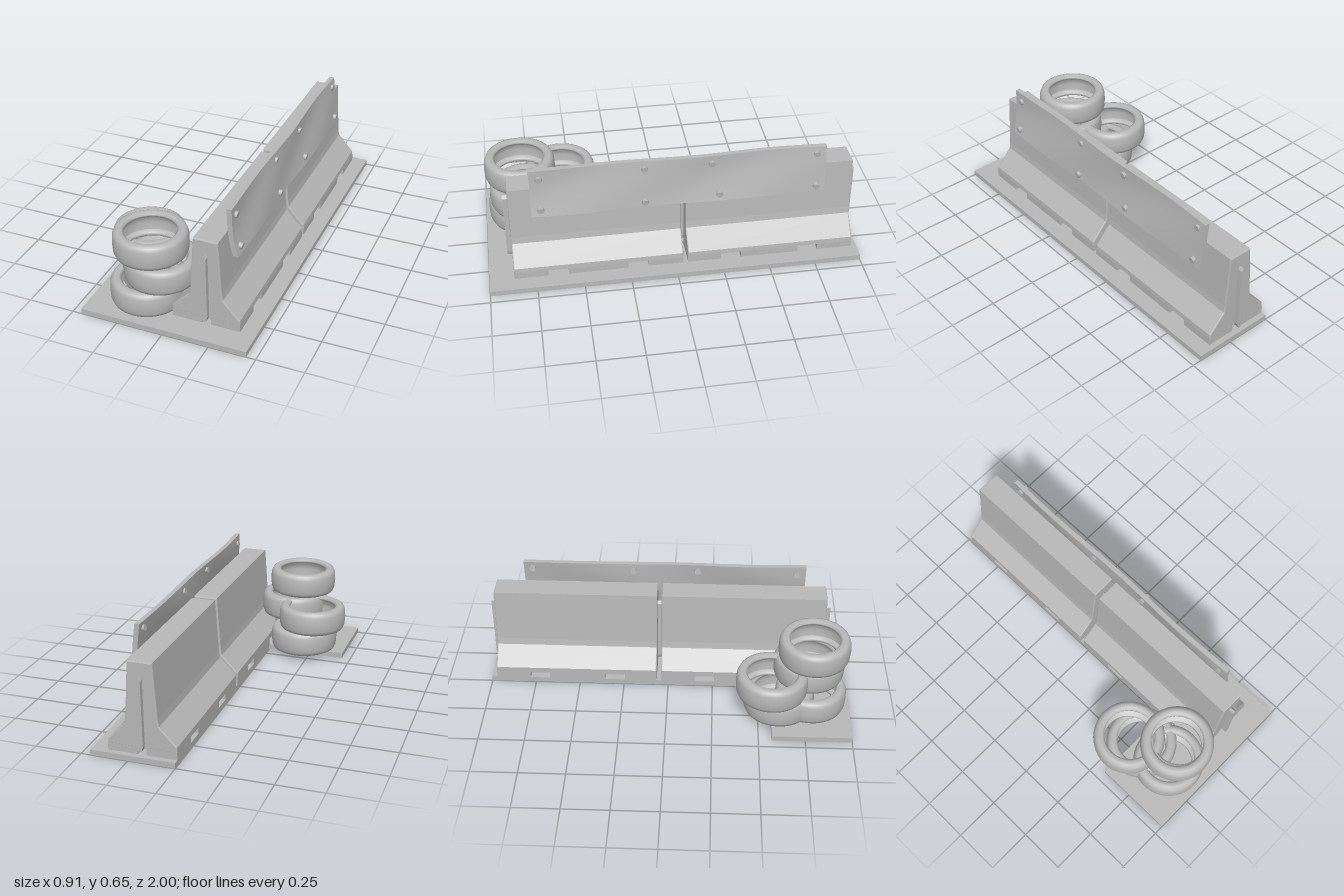
import * as THREE from 'three';

const concrete = new THREE.MeshStandardMaterial({ color: 0xb8b8b8 });
concrete.name = 'plain grey';

function part(name, geometry, x = 0, y = 0, z = 0) {
  const mesh = new THREE.Mesh(geometry, concrete);
  mesh.name = name;
  mesh.position.set(x, y, z);
  return mesh;
}

const outline = (pts) => new THREE.Shape(pts.map(([x, y]) => new THREE.Vector2(x, y)));

// L-shaped ground slab
function makeBase() {
  const shape = outline([[-0.45, -1], [0.45, -1], [0.45, 1], [0, 1], [0, -0.57], [-0.45, -0.57]]);
  const geo = new THREE.ExtrudeGeometry(shape, { depth: 0.03, bevelEnabled: false });
  geo.rotateX(-Math.PI / 2);
  return part('base', geo);
}

// One road barrier running along z, with feet, fork-lift slots and end keys
function makeBarrier(z0, z1) {
  const group = new THREE.Group();
  group.name = 'barrier';
  const bevel = 0.006;
  const body = outline([
    [0.006, 0.071], [0.359, 0.071], [0.357, 0.09], [0.268, 0.19], [0.262, 0.23],
    [0.244, 0.519], [0.124, 0.519], [0.104, 0.23], [0.098, 0.19], [0.006, 0.095],
  ]);
  const bodyGeo = new THREE.ExtrudeGeometry(body, {
    depth: z1 - z0 - 2 * bevel, bevelThickness: bevel, bevelSize: bevel, bevelSegments: 2,
  });
  group.add(part('barrierBody', bodyGeo, 0, 0, z0 + bevel));

  // Feet either side of the centre channel, split by two cross slots
  const cuts = [z0, z0 + 0.19, z0 + 0.3, z1 - 0.29, z1 - 0.18, z1];
  for (let i = 0; i < cuts.length; i += 2) {
    const len = cuts[i + 1] - cuts[i];
    const mid = (cuts[i + 1] + cuts[i]) / 2;
    for (const [a, b] of [[0, 0.16], [0.208, 0.365]]) {
      group.add(part('barrierFoot', new THREE.BoxGeometry(b - a, 0.042, len), (a + b) / 2, 0.049, mid));
    }
  }

  // Tapered connecting keys on both ends
  const key = outline([
    [0.176, 0.06], [0.192, 0.06], [0.2, 0.085], [0.196, 0.435], [0.184, 0.452], [0.172, 0.435], [0.168, 0.085],
  ]);
  for (const z of [z0 - 0.027, z1 - 0.005]) {
    const geo = new THREE.ExtrudeGeometry(key, { depth: 0.032, bevelEnabled: false });
    group.add(part('endKey', geo, 0, 0, z));
  }
  return group;
}

// Plank centre line: leans outward toward the bottom
const plankX = (y) => 0.256 + 0.037 * Math.pow((0.65 - y) / 0.265, 1.4);

// Slightly warped plank
function makePlank() {
  const geo = new THREE.BoxGeometry(0.026, 0.265, 1.56, 1, 6, 28);
  const pos = geo.attributes.position;
  for (let i = 0; i < pos.count; i++) {
    const z = pos.getZ(i) - 0.03;
    const v = pos.getY(i) / 0.265;
    const y = 0.517 + pos.getY(i) + 0.003 * Math.sin(z * 9) * Math.abs(v);
    const warp = 0.005 * Math.sin(z * 7 + v * 4);
    pos.setXYZ(i, pos.getX(i) + plankX(Math.min(y, 0.65)) + warp, y, z);
  }
  geo.computeVertexNormals();
  return part('plank', geo);
}

// Bolts passing through the plank
function makeBolts() {
  const group = new THREE.Group();
  group.name = 'bolts';
  const spots = [
    [0.7, 0.6], [0.155, 0.61], [-0.2, 0.605], [-0.76, 0.61],
    [0.7, 0.425], [0.155, 0.418], [-0.24, 0.425], [-0.76, 0.42],
  ];
  for (const [z, y] of spots) {
    const geo = new THREE.CylinderGeometry(0.018, 0.018, 0.05, 8);
    geo.rotateZ(Math.PI / 2 - 0.14);
    group.add(part('bolt', geo, plankX(y) + 0.001, y, z));
  }
  return group;
}

// Hollow tyre from a rounded section
function makeTyreGeometry() {
  const section = [
    [0.16, -0.04], [0.136, -0.048], [0.134, -0.06], [0.145, -0.07], [0.167, -0.07], [0.182, -0.062],
    [0.19, -0.042], [0.193, 0], [0.19, 0.042], [0.182, 0.062], [0.167, 0.07], [0.145, 0.07],
    [0.134, 0.06], [0.136, 0.048], [0.16, 0.04], [0.165, 0], [0.16, -0.04],
  ];
  return new THREE.LatheGeometry(section.map(([r, y]) => new THREE.Vector2(r, y)), 48);
}

export function createModel() {
  const model = new THREE.Group();
  model.name = 'roadBarrierWithTyres';
  model.add(makeBase(), makeBarrier(-0.97, -0.065), makeBarrier(-0.04, 0.868), makePlank(), makeBolts());

  // Two leaning tyre stacks
  const tyres = new THREE.Group();
  tyres.name = 'tyres';
  const tyreGeo = makeTyreGeometry();
  const places = [
    [-0.175, 0.108, 0.785], [-0.1, 0.254, 0.772], [-0.145, 0.4, 0.79],
    [-0.205, 0.106, 0.61], [-0.265, 0.254, 0.565],
  ];
  places.forEach(([x, y, z], i) => {
    const tyre = part('tyre', tyreGeo, x, y, z);
    tyre.rotation.set(0, i * 1.3, 0.012 * (i % 2 ? 1 : -1));
    tyres.add(tyre);
  });
  model.add(tyres);
  return model;
}
